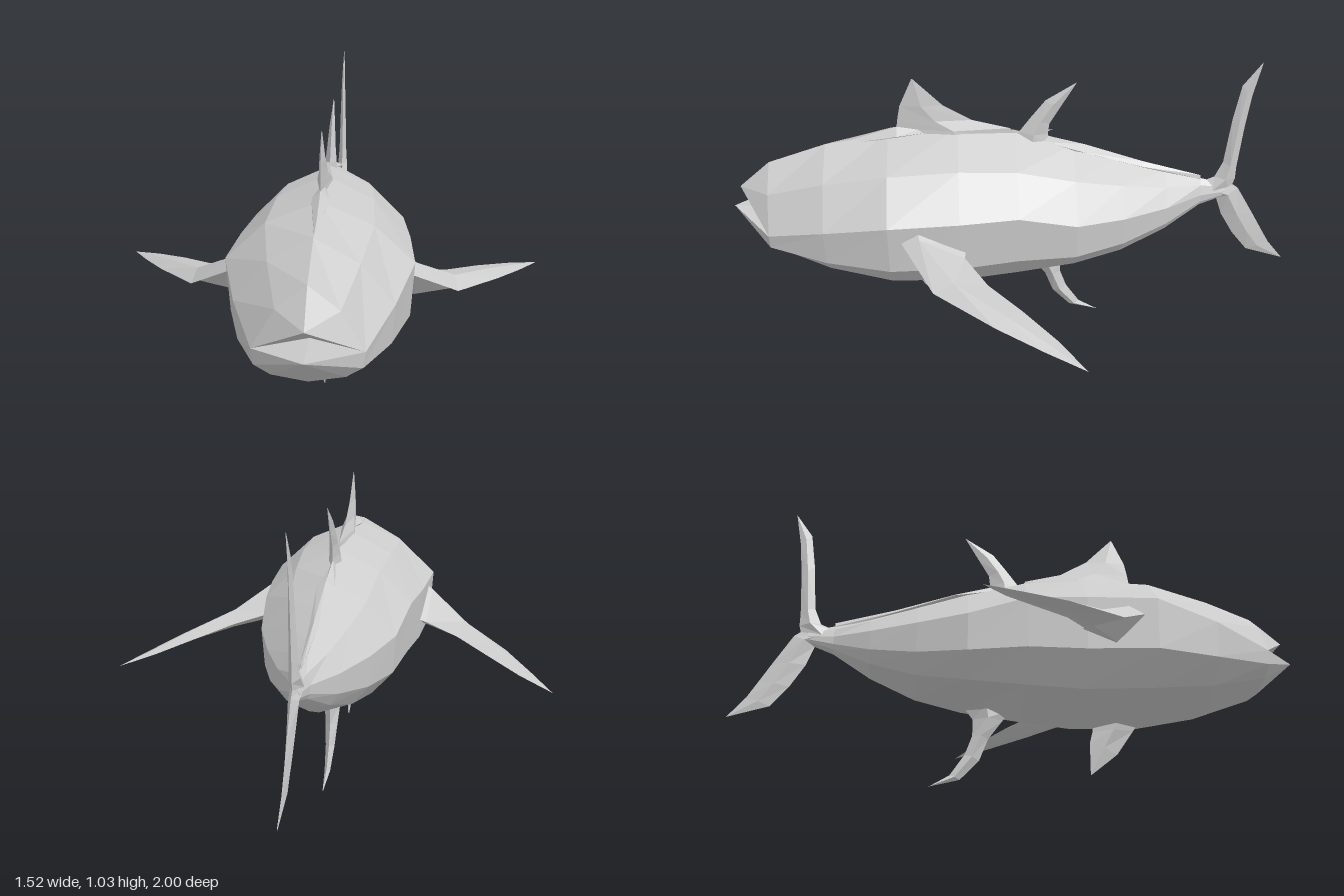
import * as THREE from 'three';

const skin = new THREE.MeshStandardMaterial({ color: 0xcccccc });
skin.name = 'silver grey skin';

// Faceted closed mesh from a triangle list; turns every face outward by signed volume.
function facetMesh(name, tris) {
  const solid = tris.filter(([a, b, c]) =>
    b.clone().sub(a).cross(c.clone().sub(a)).lengthSq() > 1e-14);
  const volume = solid.reduce((s, [a, b, c]) => s + a.dot(b.clone().cross(c)), 0);
  const points = solid.flatMap(([a, b, c]) => (volume < 0 ? [a, c, b] : [a, b, c]));
  const geometry = new THREE.BufferGeometry().setFromPoints(points);
  geometry.computeVertexNormals();
  const mesh = new THREE.Mesh(geometry, skin);
  mesh.name = name;
  return mesh;
}

// Triangles joining consecutive closed rings.
function bridge(rings) {
  const tris = [];
  for (let j = 0; j < rings.length - 1; j++) {
    const a = rings[j], b = rings[j + 1], n = a.length;
    for (let i = 0; i < n; i++) {
      const k = (i + 1) % n;
      tris.push([a[i], a[k], b[i]], [a[k], b[k], b[i]]);
    }
  }
  return tris;
}

// Triangles closing both ends of a run of rings.
function caps(rings) {
  const first = rings[0], last = rings[rings.length - 1], tris = [];
  for (let i = 1; i < first.length - 1; i++) {
    tris.push([first[0], first[i + 1], first[i]], [last[0], last[i], last[i + 1]]);
  }
  return tris;
}

const loft = (name, rings) => facetMesh(name, [...bridge(rings), ...caps(rings)]);
const V = (x, y, z) => new THREE.Vector3(x, y, z);

// Upright fin; rows are [leading z, leading y, trailing z, trailing y, half thickness].
function fin(name, rows) {
  return loft(name, rows.map(([lz, ly, tz, ty, w]) => {
    const mz = lz * 0.5 + tz * 0.5, my = ly * 0.5 + ty * 0.5;
    return [V(0, ly, lz), V(w, my, mz), V(0, ty, tz), V(-w, my, mz)];
  }));
}

// Body sections, then two jaws around an open wedge mouth.
function body() {
  const sections = [ // z, top, widest height, bottom, half width
    [0.86, 0.69, 0.49, 0.39, 0.165], [0.66, 0.757, 0.55, 0.3, 0.245],
    [0.44, 0.797, 0.6, 0.245, 0.303], [0.2, 0.81, 0.6, 0.232, 0.287],
    [0, 0.785, 0.6, 0.25, 0.262], [-0.2, 0.735, 0.545, 0.285, 0.233],
    [-0.37, 0.675, 0.53, 0.32, 0.172], [-0.53, 0.62, 0.525, 0.39, 0.1],
    [-0.66, 0.585, 0.53, 0.475, 0.03], [-0.75, 0.56, 0.535, 0.51, 0.015],
  ];
  const rings = sections.map(([z, top, mid, low, w]) => {
    const side = [
      [0.57 * w, mid + 0.62 * (top - mid)], [w, mid],
      [0.96 * w, mid - 0.51 * (mid - low)], [0.66 * w, low + 0.19 * (mid - low)],
    ];
    return [V(0, top, z), ...side.map(([x, y]) => V(x, y, z)),
      V(0, low, z), ...side.reverse().map(([x, y]) => V(-x, y, z))];
  });
  const tris = bridge(rings).map(([a, b, c]) => [a, c, b]);
  const r = rings[0], end = rings[rings.length - 1];
  const upper = V(0, 0.595, 0.97), lower = V(0, 0.515, 1), throat = V(0, 0.5, 0.8);
  for (let i = 0; i < 10; i++) {
    const tip = i >= 2 && i <= 7 ? lower : upper;
    tris.push([tip, r[(i + 1) % 10], r[i]]);
  }
  tris.push([r[2], upper, throat], [upper, r[8], throat]); // palate
  tris.push([lower, r[2], throat], [r[8], lower, throat]); // mouth floor
  for (let i = 1; i < 9; i++) tris.push([end[0], end[i], end[i + 1]]);
  // Make the bridged walls agree with the jaw winding.
  const wall = tris[0], n = wall[1].clone().sub(wall[0]).cross(wall[2].clone().sub(wall[0]));
  if (n.y < 0) for (let i = 0; i < 180; i++) tris[i] = [tris[i][0], tris[i][2], tris[i][1]];
  return facetMesh('body', tris);
}

// Swept side fin: front, upper, rear and lower edge in each section.
function pectoralFin(name, s) {
  const rings = [
    [[0.27, 0.55, 0.41], [0.27, 0.59, 0.34], [0.26, 0.49, 0.18], [0.26, 0.44, 0.3]],
    [[0.305, 0.535, 0.39], [0.31, 0.56, 0.335], [0.3, 0.475, 0.185], [0.305, 0.43, 0.29]],
    [[0.45, 0.445, 0.29], [0.44, 0.475, 0.22], [0.42, 0.45, 0.11], [0.44, 0.415, 0.19]],
    [[0.6, 0.415, 0.09], [0.57, 0.435, 0.05], [0.53, 0.425, 0], [0.57, 0.4, 0.04]],
    [[0.69, 0.39, -0.06], [0.67, 0.4, -0.08], [0.65, 0.395, -0.11], [0.67, 0.385, -0.08]],
    [[0.762, 0.37, -0.19], [0.762, 0.37, -0.19], [0.762, 0.37, -0.19], [0.762, 0.37, -0.19]],
  ];
  return loft(name, rings.map((ring) => ring.map(([x, y, z]) => V(s * x, y, z))));
}

export function createModel() {
  const fish = new THREE.Group();
  fish.name = 'fish';
  fish.add(
    body(),
    pectoralFin('leftPectoralFin', 1),
    pectoralFin('rightPectoralFin', -1),
    fin('firstDorsalFin', [
      [0.41, 0.77, 0, 0.77, 0.03], [0.41, 0.815, 0.02, 0.805, 0.024],
      [0.405, 0.85, 0.15, 0.84, 0.015], [0.395, 0.9, 0.25, 0.9, 0.01],
      [0.35, 1, 0.345, 0.998, 0.001],
    ]),
    fin('dorsalRidge', [
      [0.64, 0.763, 0.64, 0.74, 0.002], [0.41, 0.82, 0.41, 0.77, 0.028],
      [0.3, 0.82, 0.3, 0.78, 0.01],
    ]),
    fin('secondDorsalFin', [
      [0.02, 0.76, -0.13, 0.72, 0.024], [-0.01, 0.79, -0.11, 0.78, 0.02],
      [-0.05, 0.845, -0.115, 0.82, 0.015], [-0.1, 0.91, -0.15, 0.88, 0.01],
      [-0.205, 0.975, -0.205, 0.975, 0.001],
    ]),
    fin('rearRidge', [
      [-0.1, 0.775, -0.1, 0.73, 0.01], [-0.24, 0.735, -0.24, 0.7, 0.03],
      [-0.45, 0.66, -0.45, 0.63, 0.015], [-0.66, 0.597, -0.66, 0.57, 0.004],
    ]),
    fin('pelvicFin', [
      [0.42, 0.26, 0.26, 0.26, 0.028], [0.4, 0.23, 0.255, 0.22, 0.024],
      [0.34, 0.14, 0.245, 0.18, 0.014], [0.25, 0.065, 0.245, 0.062, 0.002],
    ]),
    fin('analFin', [
      [-0.03, 0.29, -0.21, 0.31, 0.032], [-0.06, 0.25, -0.165, 0.25, 0.028],
      [-0.11, 0.18, -0.165, 0.19, 0.022], [-0.14, 0.1, -0.19, 0.12, 0.016],
      [-0.205, 0.03, -0.24, 0.045, 0.01], [-0.31, 0.003, -0.31, 0.002, 0.001],
    ]),
    fin('upperTailLobe', [
      [-0.64, 0.56, -0.77, 0.525, 0.02], [-0.71, 0.59, -0.785, 0.58, 0.018],
      [-0.735, 0.65, -0.785, 0.63, 0.014], [-0.75, 0.82, -0.795, 0.78, 0.01],
      [-0.77, 0.95, -0.808, 0.91, 0.006], [-0.832, 1.037, -0.832, 1.037, 0.001],
    ]),
    fin('lowerTailLobe', [
      [-0.65, 0.51, -0.76, 0.57, 0.02], [-0.725, 0.5, -0.8, 0.54, 0.017],
      [-0.75, 0.43, -0.865, 0.43, 0.013], [-0.8, 0.345, -0.905, 0.36, 0.01],
      [-0.86, 0.27, -0.94, 0.3, 0.006], [-1, 0.225, -1, 0.225, 0.001],
    ]),
  );
  return fish;
}
